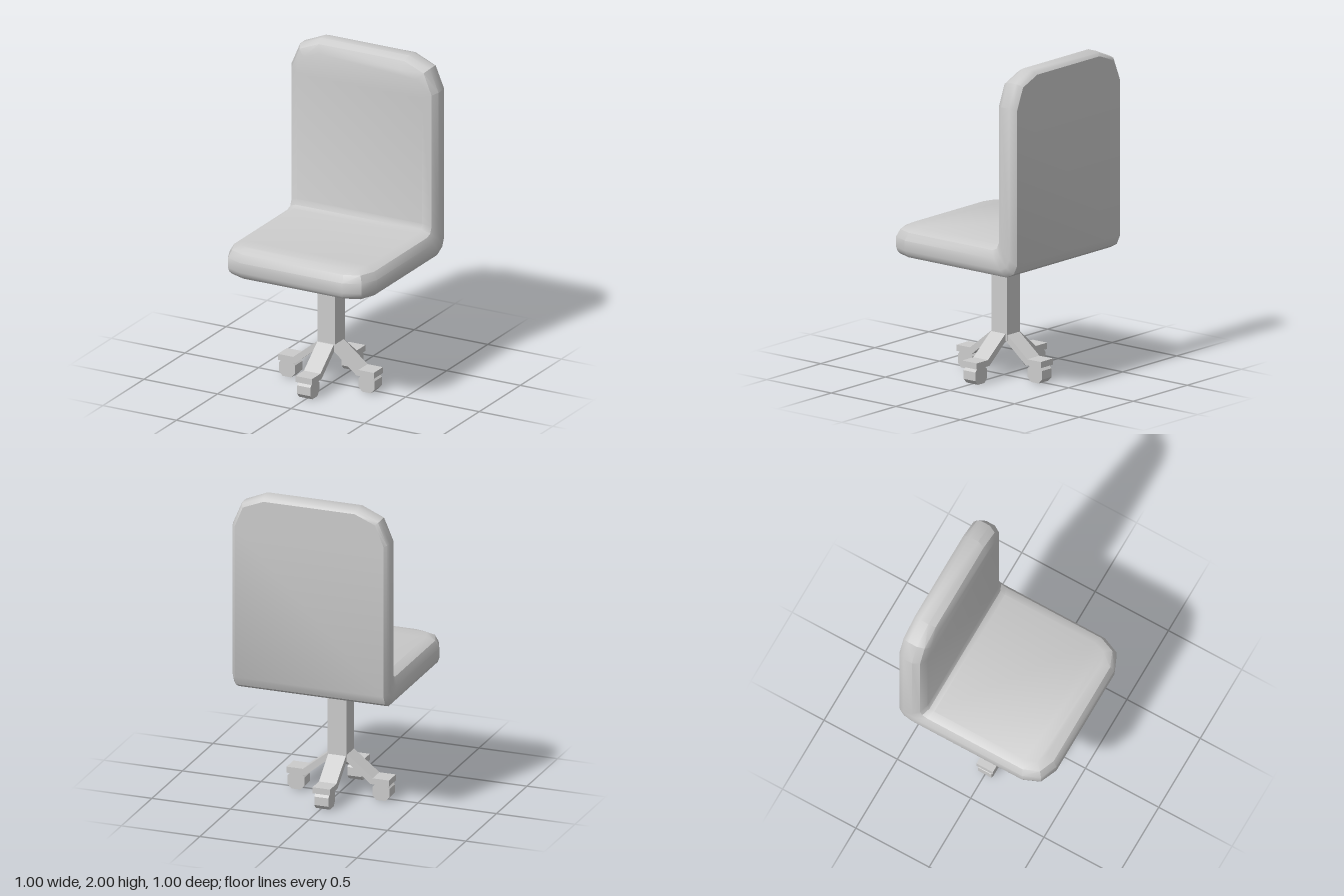
import * as THREE from 'three';
import { toCreasedNormals } from 'three/addons/utils/BufferGeometryUtils.js';

const material = new THREE.MeshStandardMaterial({ color: 0xcccccc });

function addMesh(parent, name, geometry) {
  const mesh = new THREE.Mesh(geometry, material);
  mesh.name = name;
  parent.add(mesh);
  return mesh;
}

// Padded seat and back: one slab with cut corners, folded into an L.
function cushionGeometry() {
  // Half width, outer (z, y), inner (z, y), share of the edge inset on width, z and y
  const stations = [
    [0.35, 0.5, 0.755, 0.5, 0.93, 0.4, 1, 0],
    [0.455, 0.455, 0.755, 0.455, 0.93, 0.75, 0.75, 0],
    [0.5, 0.35, 0.755, 0.35, 0.93, 1, 0.4, 0],
    [0.5, -0.42, 0.755, -0.29, 0.93, 1, 0, 0],
    [0.5, -0.475, 0.785, -0.322, 0.942, 1, 0, 0],
    [0.5, -0.5, 0.84, -0.335, 0.975, 1, 0, 0],
    [0.5, -0.5, 1.8, -0.335, 1.8, 1, 0, 0.4],
    [0.44, -0.5, 1.94, -0.335, 1.94, 0.75, 0, 0.75],
    [0.3, -0.5, 2, -0.335, 2, 0.4, 0, 1],
  ];
  // Depth from outer to inner face, and inset, of the rounded rim
  const rim = [[0, 0.025], [0.1, 0.008], [0.25, 0], [0.6, 0], [0.86, 0.024], [1, 0.075]];
  const n = rim.length * 2;

  const positions = [];
  for (const [w, z0, y0, z1, y1, sx, sz, sy] of stations) {
    const half = rim.map(([t, inset]) => [
      w - inset * sx,
      y0 + (y1 - y0) * t - inset * sy,
      z0 + (z1 - z0) * t - inset * sz,
    ]);
    const mirrored = half.map(([x, y, z]) => [-x, y, z]).reverse();
    for (const p of [...half, ...mirrored]) positions.push(...p);
  }

  const index = [];
  const quad = (a, b, c, d) => index.push(a, b, c, a, c, d);
  for (let s = 0; s < stations.length - 1; s++) {
    for (let j = 0; j < n; j++) {
      const a = s * n + j;
      const b = s * n + ((j + 1) % n);
      quad(a, a + n, b + n, b);
    }
  }
  // Front edge of the seat and top edge of the back
  const last = (stations.length - 1) * n;
  for (let k = 0; k < rim.length - 1; k++) {
    quad(k, k + 1, n - 2 - k, n - 1 - k);
    quad(last + n - 1 - k, last + n - 2 - k, last + k + 1, last + k);
  }

  const geometry = new THREE.BufferGeometry();
  geometry.setAttribute('position', new THREE.Float32BufferAttribute(positions, 3));
  geometry.setIndex(index);
  return toCreasedNormals(geometry, 0.6);
}

// Flat profile extruded symmetrically about z = 0
function extrudeProfile(points, width) {
  const shape = new THREE.Shape(points.map(([x, y]) => new THREE.Vector2(x, y)));
  return new THREE.ExtrudeGeometry(shape, { depth: width, bevelEnabled: false })
    .translate(0, 0, -width / 2);
}

export function createModel() {
  const model = new THREE.Group();
  model.name = 'officeChair';

  addMesh(model, 'seatAndBack', cushionGeometry());

  // Square post with a flared mount under the seat
  const mount = new THREE.CylinderGeometry(0.205 * Math.SQRT2, 0.06 * Math.SQRT2, 0.08, 4)
    .rotateY(Math.PI / 4).toNonIndexed();
  mount.computeVertexNormals();
  addMesh(model, 'seatMount', mount).position.set(-0.01, 0.72, -0.005);
  addMesh(model, 'post', new THREE.BoxGeometry(0.12, 0.46, 0.12)).position.set(-0.01, 0.455, -0.005);

  // Four bent legs, each ending in a flat pad over an eight-sided caster
  const legGeometry = extrudeProfile([
    [0, 0.267], [0.06, 0.267], [0.222, 0.138], [0.326, 0.138],
    [0.326, 0.1], [0.208, 0.1], [0.05, 0.228], [0, 0.228],
  ], 0.112);
  const casterGeometry = extrudeProfile([
    [0.241, 0], [0.3, 0], [0.325, 0.027], [0.325, 0.08],
    [0.306, 0.1], [0.235, 0.1], [0.216, 0.08], [0.216, 0.027],
  ], 0.09);
  for (let i = 0; i < 4; i++) {
    const arm = new THREE.Group();
    arm.name = `leg${i + 1}`;
    arm.position.set(-0.01, 0, 0.003);
    arm.rotation.y = i * Math.PI / 2;
    addMesh(arm, 'legBar', legGeometry);
    addMesh(arm, 'caster', casterGeometry);
    model.add(arm);
  }

  return model;
}
